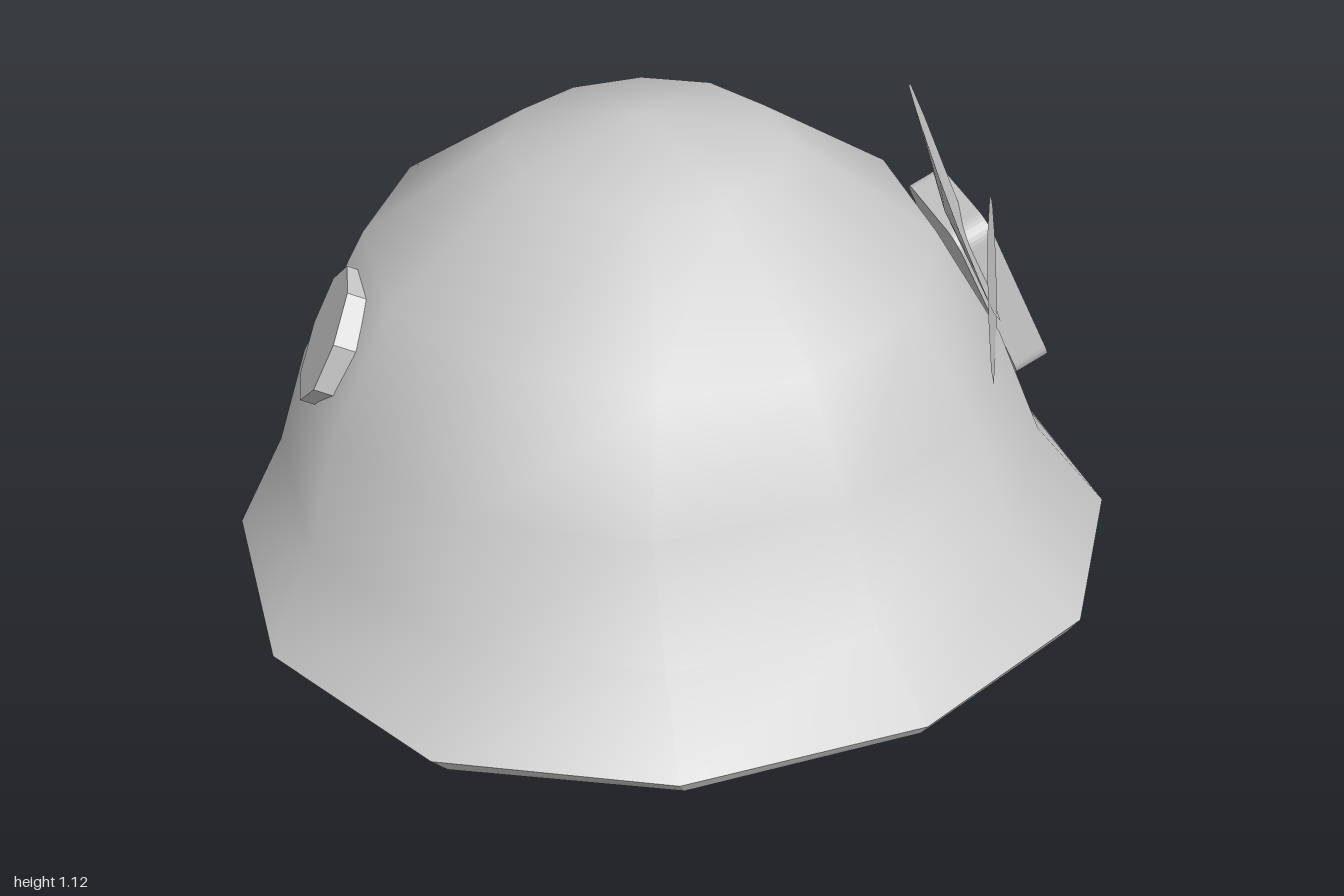
import * as THREE from 'three';

const SIDES = 12;

function material(flat = false, side = THREE.FrontSide) {
  return new THREE.MeshStandardMaterial({ color: 0xcccccc, flatShading: flat, side });
}

// Twelve-sided ring: half width, front and back z, and heights at front, sides and back
function ring(rx, zFront, zBack, yFront, ySide, yBack) {
  const points = [];
  for (let i = 0; i < SIDES; i++) {
    const a = (i / SIDES) * Math.PI * 2;
    const t = Math.cos(a);
    const slope = 0.45 * t + 0.55 * t ** 3;
    points.push([
      rx * Math.sin(a),
      ySide + ((yFront - yBack) / 2) * slope + ((yFront + yBack) / 2 - ySide) * t * t,
      (zFront + zBack) / 2 + ((zFront - zBack) / 2) * t,
    ]);
  }
  return points;
}

// Skin over successive rings, optionally closed by an apex
function loft(rings, apex) {
  const index = [];
  const points = rings.flat();
  for (let r = 0; r < rings.length; r++) {
    for (let i = 0; i < SIDES; i++) {
      const j = (i + 1) % SIDES;
      const a = r * SIDES + i, b = r * SIDES + j;
      if (r < rings.length - 1) index.push(a, b, b + SIDES, a, b + SIDES, a + SIDES);
      else if (apex) index.push(a, b, points.length);
    }
  }
  if (apex) points.push(apex);
  const g = new THREE.BufferGeometry();
  g.setAttribute('position', new THREE.Float32BufferAttribute(points.flat(), 3));
  g.setIndex(index);
  g.computeVertexNormals();
  return g;
}

function part(name, geometry, mat) {
  const mesh = new THREE.Mesh(geometry, mat);
  mesh.name = name;
  return mesh;
}

// Thin cupped leaf around c with normal n; outline given as [z, y], clockwise seen from +x
function leaf(name, c, n, cup, outline) {
  const points = outline.map(([z, y]) => [
    c[0] + cup - (n[1] * (y - c[1]) + n[2] * (z - c[2])) / n[0], y, z,
  ]);
  const index = [];
  points.forEach((p, i) => index.push(points.length, i, (i + 1) % points.length));
  const g = new THREE.BufferGeometry();
  g.setAttribute('position', new THREE.Float32BufferAttribute([...points, c].flat(), 3));
  g.setIndex(index);
  g.computeVertexNormals();
  return part(name, g, material(false, THREE.DoubleSide));
}

export function createModel() {
  const group = new THREE.Group();

  // Domed shell flaring into the brim
  const rim = ring(0.99, 1, -1, 0.21, 0.09, 0.04);
  group.add(part('shell', loft([
    rim,
    ring(0.86, 0.82, -0.93, 0.33, 0.28, 0.25),
    ring(0.78, 0.69, -0.86, 0.56, 0.52, 0.45),
    ring(0.62, 0.55, -0.74, 0.79, 0.80, 0.77),
    ring(0.30, 0.21, -0.43, 1.03, 1.02, 1.0),
  ], [0, 1.08, -0.11]), material()));

  // Brim edge and underside, leaving a six-sided opening raised at the front
  const lower = ring(0.95, 0.98, -0.94, 0.178, 0.05, 0.005);
  const corners = [
    [-0.13, 0.27, 0.59], [0.45, 0.16, 0.47], [0.6, 0.11, -0.13],
    [0.16, 0.11, -0.54], [-0.44, 0.11, -0.4], [-0.61, 0.12, 0.18],
  ];
  const opening = corners.flatMap((p, k) => {
    const q = corners[(k + 1) % 6];
    return [p, p.map((v, m) => (v + q[m]) / 2)];
  });
  group.add(part('brimEdge', loft([lower, rim]), material(true)));
  group.add(part('brimUnderside', loft([opening, lower]), material()));

  // Inner lining
  const shrink = (s, y) => opening.map(([x, , z]) => [x * s, y, z * s - 0.4 * (1 - s)]);
  const lining = loft([opening, shrink(0.92, 0.5), shrink(0.72, 0.78)], [0, 0.96, -0.1]);
  lining.setIndex([...lining.index.array].reverse());
  lining.computeVertexNormals();
  group.add(part('lining', lining, material()));

  // Two overlapping leaves on the left front
  group.add(leaf('backLeaf', [0.56, 0.84, 0.22], [0.82, 0.37, 0.43], 0.03, [
    [0.05, 1.07], [0.15, 1.13], [0.27, 1.11], [0.38, 1.04], [0.43, 0.93], [0.42, 0.8],
    [0.38, 0.65], [0.25, 0.52], [0.15, 0.55], [0.04, 0.72], [0.01, 0.95],
  ]));
  group.add(leaf('frontLeaf', [0.56, 0.74, 0.39], [0.78, 0.1, 0.62], 0.01, [
    [0.37, 0.94], [0.47, 0.94], [0.54, 0.87], [0.56, 0.77], [0.54, 0.64], [0.47, 0.54],
    [0.38, 0.53], [0.3, 0.53], [0.23, 0.56], [0.22, 0.72], [0.26, 0.84], [0.31, 0.91],
  ]));

  // Round-cornered pack strapped to the left side
  const w = 0.15, h = 0.23, r = 0.05, depth = 0.085;
  const outline = new THREE.Shape();
  outline.absarc(w - r, h - r, r, 0, Math.PI / 2);
  outline.absarc(r - w, h - r, r, Math.PI / 2, Math.PI);
  outline.absarc(r - w, r - h, r, Math.PI, Math.PI * 1.5);
  outline.absarc(w - r, r - h, r, Math.PI * 1.5, Math.PI * 2);
  const packGeometry = new THREE.ExtrudeGeometry(outline, { depth, bevelEnabled: false, curveSegments: 4 });
  packGeometry.translate(0, 0, -depth / 2).rotateY(Math.PI / 2);
  const pack = part('sidePack', packGeometry, material());
  pack.position.set(0.825, 0.503, 0.025);
  pack.rotation.set(0, -0.22, 0.44, 'YXZ');
  group.add(pack);

  // Eight-sided stud on the right rear
  const stud = part('stud', new THREE.CylinderGeometry(0.155, 0.155, 0.05, 8), material(true));
  stud.position.set(-0.66, 0.615, -0.322);
  stud.quaternion.setFromUnitVectors(
    new THREE.Vector3(0, 1, 0), new THREE.Vector3(-0.82, 0.42, -0.38).normalize());
  group.add(stud);

  return group;
}
